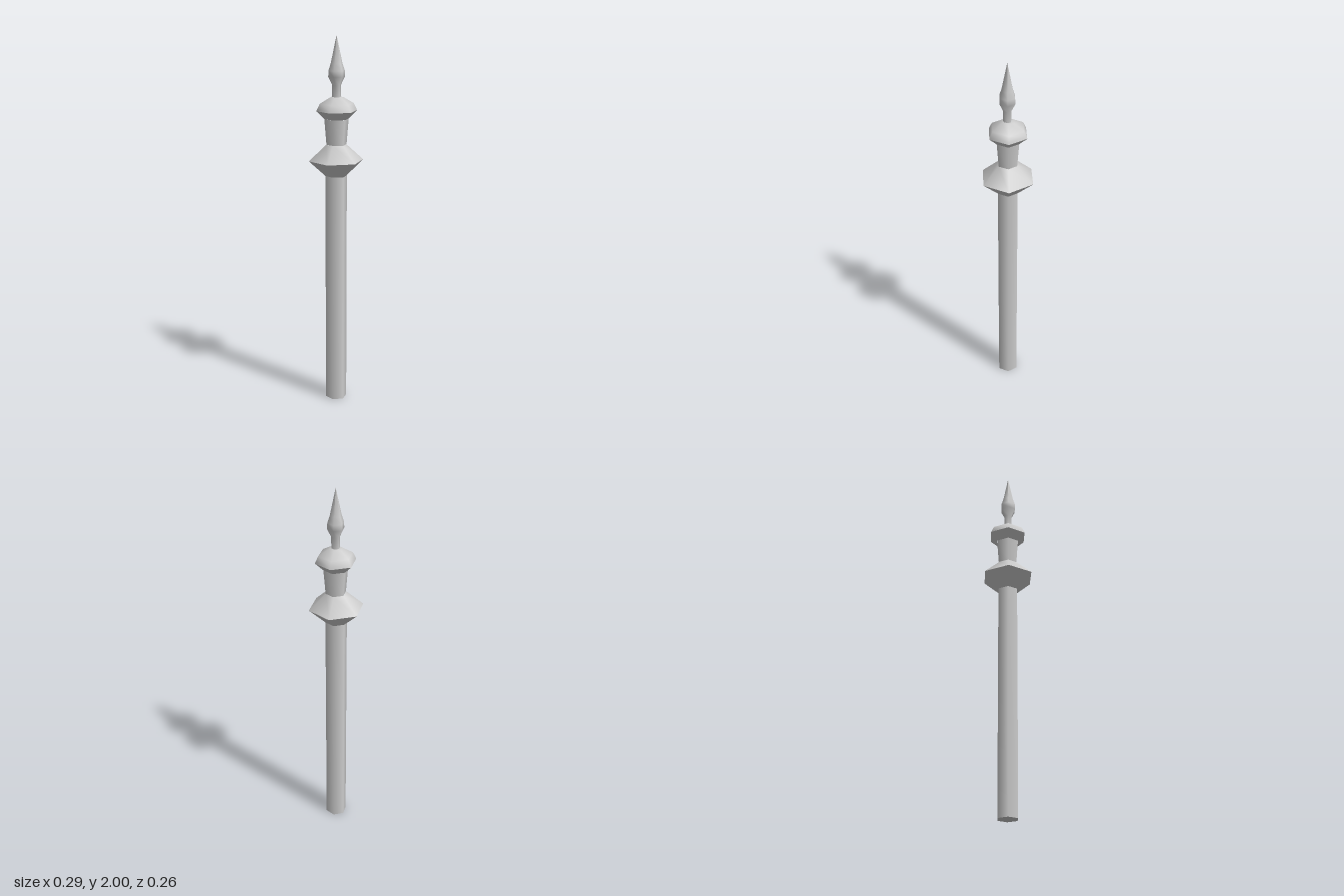
import * as THREE from 'three';

const SIDES = 6;
const TURN = THREE.MathUtils.degToRad(34.5); // puts a corner just behind the +x axis

export function createModel() {
  const group = new THREE.Group();
  group.name = 'spikedPost';
  const material = new THREE.MeshStandardMaterial({ color: 0xcccccc });

  // Each part is one or more six-sided turned bands; bands meet in sharp rings.
  function addPart(name, bands, x = 0, z = 0) {
    const part = new THREE.Group();
    part.name = name;
    part.position.set(x, 0, z);
    bands.forEach((band, i) => {
      const points = band.map(([r, y]) => new THREE.Vector2(r, y));
      const mesh = new THREE.Mesh(new THREE.LatheGeometry(points, SIDES, TURN), material);
      mesh.name = `${name}Band${i + 1}`;
      part.add(mesh);
    });
    group.add(part);
  }

  // Long shaft with closed foot
  addPart('shaft', [
    [[0, 0], [0.058, 0]],
    [[0.058, 0], [0.058, 1.268]],
  ]);

  // Wide double-cone collar
  addPart('collar', [
    [[0.058, 1.268], [0.146, 1.35]],
    [[0.146, 1.35], [0.054, 1.435]],
  ]);

  // Neck flaring upward
  addPart('neck', [[[0.054, 1.435], [0.065, 1.57]]], 0.002);

  // Knob with undercut and rounded top
  addPart('knob', [
    [[0.065, 1.57], [0.108, 1.612]],
    [[0.108, 1.612], [0.104, 1.622], [0.09, 1.65], [0.036, 1.682], [0.022, 1.685]],
  ], 0.003, -0.001);

  // Stem, bulb and pointed spike
  addPart('spike', [
    [[0.023, 1.68], [0.023, 1.745], [0.044, 1.788], [0.043, 1.82], [0.031, 1.856], [0, 2]],
  ], 0.002, 0.002);

  return group;
}
